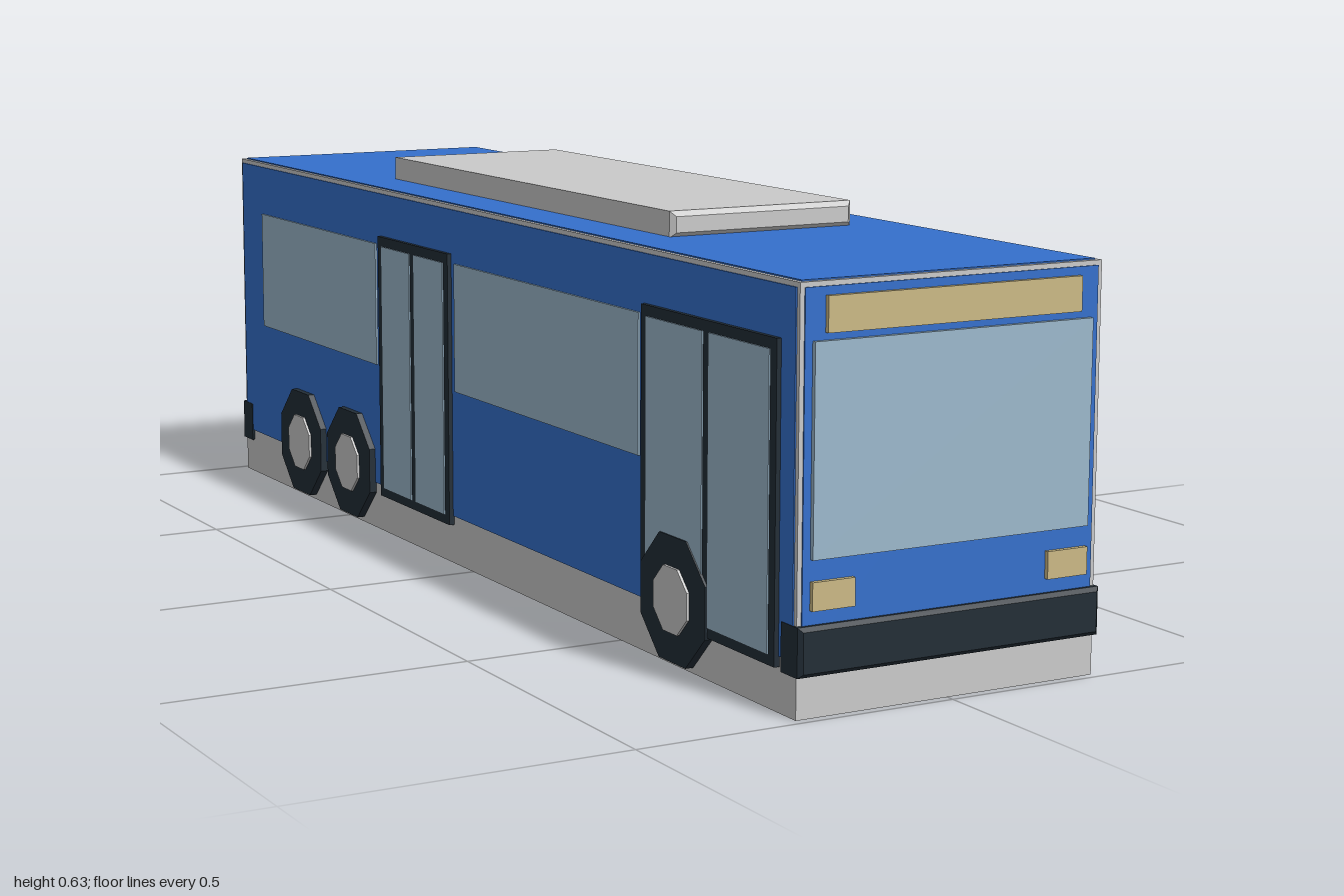
import * as THREE from 'three';

const mat = (name, color) => {
  const m = new THREE.MeshStandardMaterial({ color });
  m.name = name;
  return m;
};

export function createModel() {
  const bus = new THREE.Group();
  bus.name = 'bus';
  const grey = mat('light grey', 0xcacaca);
  const blue = mat('blue paint', 0x3570cc);
  const glass = mat('glass', 0x9cb8cc);
  const dark = mat('dark rubber', 0x222d36);
  const amber = mat('pale amber', 0xcbb985);
  const red = mat('red', 0xc0392b);

  const add = (name, geometry, material) => {
    const mesh = new THREE.Mesh(geometry, material);
    mesh.name = name;
    bus.add(mesh);
    return mesh;
  };

  // Box given by its limits on each axis
  const box = (name, material, [x0, x1], [y0, y1], [z0, z1]) =>
    add(name, new THREE.BoxGeometry(x1 - x0, y1 - y0, z1 - z0), material)
      .position.set((x0 + x1) / 2, (y0 + y1) / 2, (z0 + z1) / 2);

  // Box with every edge chamfered by b
  const chamferBox = (name, material, w, h, d, b) => {
    const x = w / 2 - b, y = h / 2 - b;
    const shape = new THREE.Shape([[-x, -y], [x, -y], [x, y], [-x, y]].map(p => new THREE.Vector2(...p)));
    const g = new THREE.ExtrudeGeometry(shape, {
      depth: d - 2 * b, bevelEnabled: true, bevelSize: b, bevelThickness: b, bevelSegments: 1,
    });
    return add(name, g.translate(0, 0, -(d / 2 - b)), material);
  };

  const W = 0.247, H = 0.594, L = 0.987, skin = 0.002;

  // Body shell with thin painted panels set in from the edges
  box('body', grey, [-W, W], [0, H], [-L, L]);
  box('roofPanel', blue, [-0.24, 0.24], [H, H + skin], [-0.98, 0.98]);
  for (const s of [-1, 1]) {
    const side = [s * W, s * (W + skin)].sort((a, b) => a - b);
    const end = [s * L, s * (L + skin)].sort((a, b) => a - b);
    box('sidePanel', blue, side, [0.08, 0.587], [-0.98, 0.98]);
    box('endPanel', blue, [-0.24, 0.24], [0.08, 0.587], end);
    // Bumper wrapping each end
    chamferBox('bumper', dark, 0.5, 0.07, 0.054, 0.006).position.set(0, 0.095, s * 0.973);
  }

  // Roof unit
  chamferBox('roofUnit', grey, 0.316, 0.04, 0.985, 0.008).position.y = 0.614;

  // Front: windscreen, destination panel, headlights
  const front = [L, 0.996];
  box('windscreen', glass, [-0.228, 0.228], [0.22, 0.515], front);
  box('destinationPanel', amber, [-0.208, 0.208], [0.525, 0.575], front);

  // Back: window and tail lights
  const back = [-0.996, -L];
  box('rearWindow', glass, [-0.213, 0.213], [0.34, 0.495], back);
  for (const s of [-1, 1]) {
    const span = [s * 0.16, s * 0.228].sort((a, b) => a - b);
    box('headlight', amber, span, [0.15, 0.19], front);
    box('tailLight', red, span, [0.18, 0.218], back);
  }

  // Side windows
  box('leftWindow', glass, [W, 0.252], [0.29, 0.5], [-0.89, 0.84]);
  for (const z of [[-0.88, -0.365], [-0.055, 0.56]])
    box('rightWindow', glass, [-0.252, -W], [0.29, 0.5], z);

  // Double doors on the right side
  for (const [z0, z1] of [[-0.345, -0.07], [0.575, 0.945]]) {
    const mid = (z0 + z1) / 2, rim = 0.016;
    box('doorFrame', dark, [-0.256, -W], [0.065, 0.515], [z0, z1]);
    for (const z of [[z0 + rim, mid - rim / 2], [mid + rim / 2, z1 - rim]])
      box('doorGlass', glass, [-0.258, -0.256], [0.08, 0.499], z);
  }

  // Octagonal wheels with hubs
  const disc = (r, x0, x1) => {
    const g = new THREE.CylinderGeometry(r, r, x1 - x0, 8).toNonIndexed();
    g.rotateY(Math.PI / 8).rotateZ(Math.PI / 2).translate((x0 + x1) / 2, 0, 0);
    g.computeVertexNormals();
    return g;
  };
  for (const z of [0.675, -0.475, -0.69]) {
    for (const s of [-1, 1]) {
      const at = s > 0 ? [0.2, 0.26] : [-0.26, -0.2];
      const hubAt = s > 0 ? [0.255, 0.264] : [-0.264, -0.255];
      add('tyre', disc(0.1, ...at), dark).position.set(0, 0.101, z);
      add('hub', disc(0.052, ...hubAt), grey).position.set(0, 0.101, z);
    }
  }

  return bus;
}
